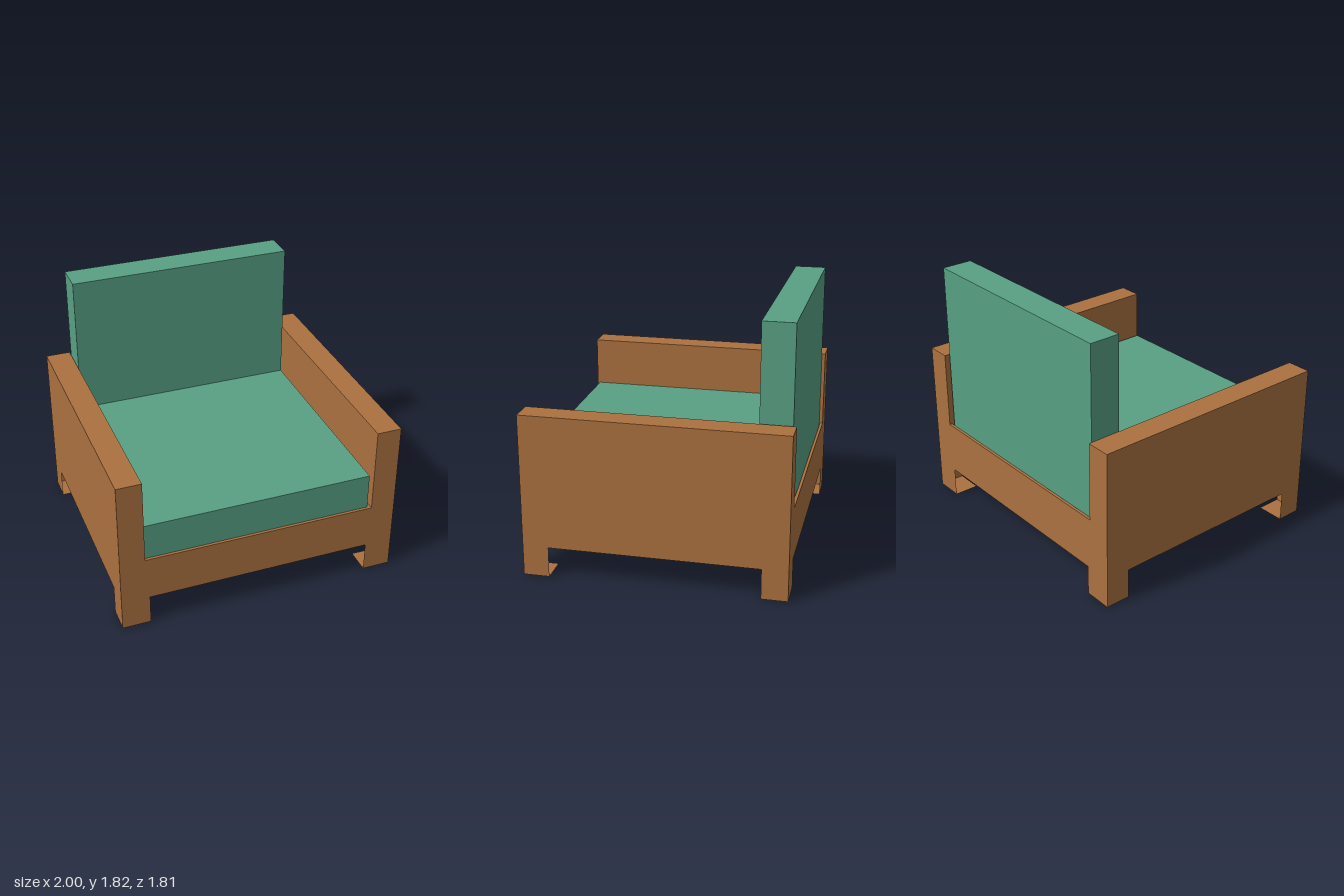
import * as THREE from 'three';

const wood = new THREE.MeshStandardMaterial({ color: 0xab7140, side: THREE.DoubleSide });
wood.name = 'wood';
const fabric = new THREE.MeshStandardMaterial({ color: 0x58a083 });
fabric.name = 'green fabric';

// Box given by its lower and upper limits on each axis
function box(name, [x0, x1], [y0, y1], [z0, z1], material) {
  const mesh = new THREE.Mesh(new THREE.BoxGeometry(x1 - x0, y1 - y0, z1 - z0), material);
  mesh.position.set((x0 + x1) / 2, (y0 + y1) / 2, (z0 + z1) / 2);
  mesh.name = name;
  return mesh;
}

// Thin skirt panel with a leg at each end and a cut-out between them
function skirt(name, halfWidth, legWidth) {
  const inner = halfWidth - legWidth;
  const shape = new THREE.Shape([
    [-halfWidth, 0], [-inner, 0], [-inner, 0.215], [inner, 0.215],
    [inner, 0], [halfWidth, 0], [halfWidth, 0.305], [-halfWidth, 0.305],
  ].map(([x, y]) => new THREE.Vector2(x, y)));
  const mesh = new THREE.Mesh(new THREE.ShapeGeometry(shape), wood);
  mesh.name = name;
  return mesh;
}

export function createModel() {
  const chair = new THREE.Group();
  chair.name = 'armchair';
  const W = 1, D = 0.905, armInner = 0.825, legX = 0.2, legZ = 0.18;
  const between = [-armInner, armInner];

  // Armrests, skirts and feet, mirrored on both sides
  for (const s of [-1, 1]) {
    const side = s > 0 ? 'left' : 'right';
    const armX = s > 0 ? [armInner, W] : [-W, -armInner];
    chair.add(box(side + 'Armrest', armX, [0.305, 1.15], [-D, D], wood));

    const sideSkirt = skirt(side + 'Skirt', D, legZ);
    sideSkirt.rotation.y = s * Math.PI / 2;
    sideSkirt.position.x = s * W;

    const end = s > 0 ? 'front' : 'back';
    const endSkirt = skirt(end + 'Skirt', W, legX);
    endSkirt.rotation.y = s > 0 ? 0 : Math.PI;
    endSkirt.position.z = s * D;
    chair.add(sideSkirt, endSkirt);

    // Flat soles closing the hollow legs
    for (const t of [-1, 1]) {
      const sole = new THREE.Mesh(new THREE.PlaneGeometry(legX, legZ), wood);
      sole.rotation.x = Math.PI / 2;
      sole.position.set(s * (W - legX / 2), 0, t * (D - legZ / 2));
      sole.name = side + (t > 0 ? 'Front' : 'Back') + 'Sole';
      chair.add(sole);
    }
  }

  // Seat base: rails around a recess, closed above by a deck
  chair.add(
    box('frontRail', between, [0.305, 0.535], [0.68, D], wood),
    box('backRail', between, [0.305, 0.535], [-D, -0.68], wood),
    box('seatDeck', between, [0.515, 0.535], [-0.68, 0.68], wood),
    box('backLip', between, [0.535, 0.59], [-D, -0.885], wood),
  );

  // Cushions
  const cushionX = [-0.82, 0.8];
  chair.add(
    box('seatCushion', cushionX, [0.537, 0.8], [-0.66, 0.887], fabric),
    box('backCushion', cushionX, [0.537, 1.82], [-0.88, -0.66], fabric),
  );
  return chair;
}
